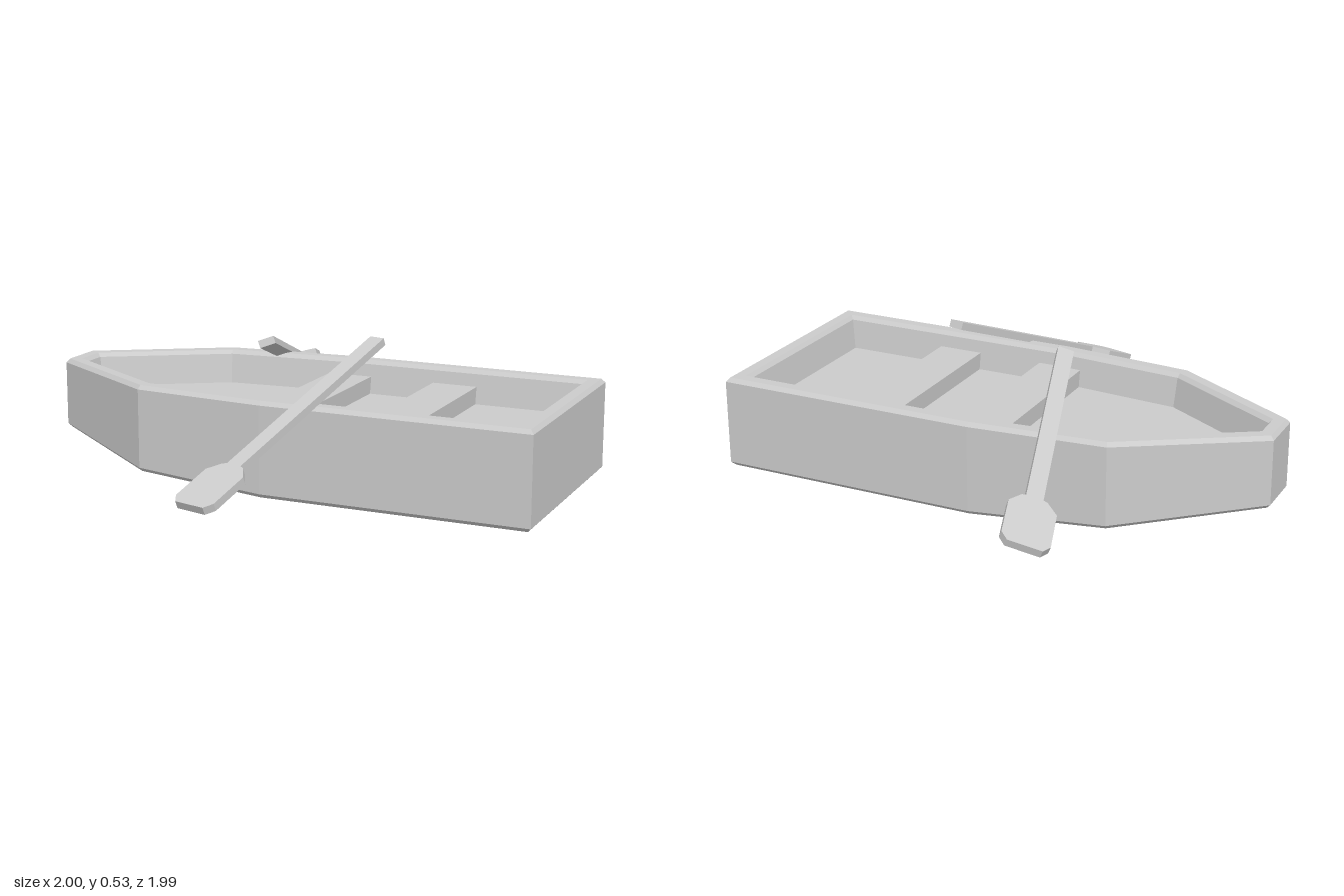
import * as THREE from 'three';

const material = new THREE.MeshStandardMaterial({ color: 0xcccccc, flatShading: true });
const CENTRE_Z = -0.035;

// Half of the plan outline from stern to bow: x, half width, keel height
const stations = [[1, 0.435, 0], [0, 0.435, 0], [-0.51, 0.39, 0.028], [-1, 0.09, 0.08]];
const outline = [...stations, ...stations.slice().reverse().map(([x, w, k]) => [x, -w, k])];
const N = outline.length;

// Inward unit normal of the outline edge starting at corner i
function edgeNormal(i) {
  const [ax, az] = outline[(i + N) % N], [bx, bz] = outline[(i + 1) % N];
  return new THREE.Vector2(az - bz, bx - ax).normalize();
}

// Plan outline moved inward with mitred corners, at a height given by a rule
function ring(inset, height) {
  return outline.map(([x, z, keel], i) => {
    const n = edgeNormal(i - 1), m = edgeNormal(i);
    const k = inset / (1 + n.dot(m));
    return [x + (n.x + m.x) * k, height(keel), z + (n.y + m.y) * k];
  });
}

// Hull: underside, sides, bevelled gunwale, inner wall and floor in one skin
function hullGeometry() {
  const rings = [
    ring(0.014, k => k),
    ring(0, k => k + 0.015),
    ring(0, () => 0.337),
    ring(0.013, () => 0.352),
    ring(0.053, () => 0.352),
    ring(0.066, () => 0.337),
    ring(0.085, () => 0.225),
  ];
  const pos = [];
  const quad = (a, b, c, d) => pos.push(...a, ...b, ...c, ...a, ...c, ...d);
  for (let r = 0; r < rings.length - 1; r++) {
    const lo = rings[r], hi = rings[r + 1];
    for (let i = 0; i < N; i++) {
      const j = (i + 1) % N;
      quad(lo[i], hi[i], hi[j], lo[j]);
    }
  }
  const bottom = rings[0], floor = rings[rings.length - 1];
  for (let i = 0; i < N / 2 - 1; i++) {
    const j = N - 1 - i;
    quad(bottom[i], bottom[i + 1], bottom[j - 1], bottom[j]);
    quad(floor[i], floor[j], floor[j - 1], floor[i + 1]);
  }
  const geo = new THREE.BufferGeometry();
  geo.setAttribute('position', new THREE.Float32BufferAttribute(pos, 3));
  geo.computeVertexNormals();
  return geo;
}

// Oar: flat shaft and chamfered blade, from handle end to blade tip, rolled about its length
function makeOar(name, handle, tip, roll) {
  const length = handle.distanceTo(tip), thick = 0.028;
  const half = [
    [0.03, 0], [0.03, length - 0.235], [0.045, length - 0.23],
    [0.083, length - 0.185], [0.083, length - 0.03], [0.06, length],
  ];
  const points = [...half, ...half.slice().reverse().map(([x, y]) => [-x, y])];
  const shape = new THREE.Shape(points.map(p => new THREE.Vector2(...p)));
  const geo = new THREE.ExtrudeGeometry(shape, { depth: thick, bevelEnabled: false });
  geo.translate(0, 0, -thick / 2);

  const along = tip.clone().sub(handle).normalize();
  const across = new THREE.Vector3(-along.z, 0, along.x).normalize().applyAxisAngle(along, -roll);
  const normal = across.clone().cross(along);
  geo.applyMatrix4(new THREE.Matrix4().makeBasis(across, along, normal).setPosition(handle));
  const mesh = new THREE.Mesh(geo, material);
  mesh.name = name;
  return mesh;
}

export function createModel() {
  const boat = new THREE.Group();
  boat.name = 'rowingBoat';

  const hull = new THREE.Mesh(hullGeometry(), material);
  hull.name = 'hull';
  hull.position.z = CENTRE_Z;
  boat.add(hull);

  // Bench seats across the hull
  [['middleSeat', 0.007], ['sternSeat', 0.437]].forEach(([name, x]) => {
    const seat = new THREE.Mesh(new THREE.BoxGeometry(0.175, 0.08, 0.725), material);
    seat.name = name;
    seat.position.set(x, 0.25, CENTRE_Z);
    boat.add(seat);
  });

  boat.add(makeOar('frontOar', new THREE.Vector3(0.285, 0.52, 0.003), new THREE.Vector3(0.03, 0.122, 0.967), 0));
  boat.add(makeOar('backOar', new THREE.Vector3(-0.155, 0.48, 0.013), new THREE.Vector3(-0.463, 0.195, -0.975), 0.35));
  return boat;
}
